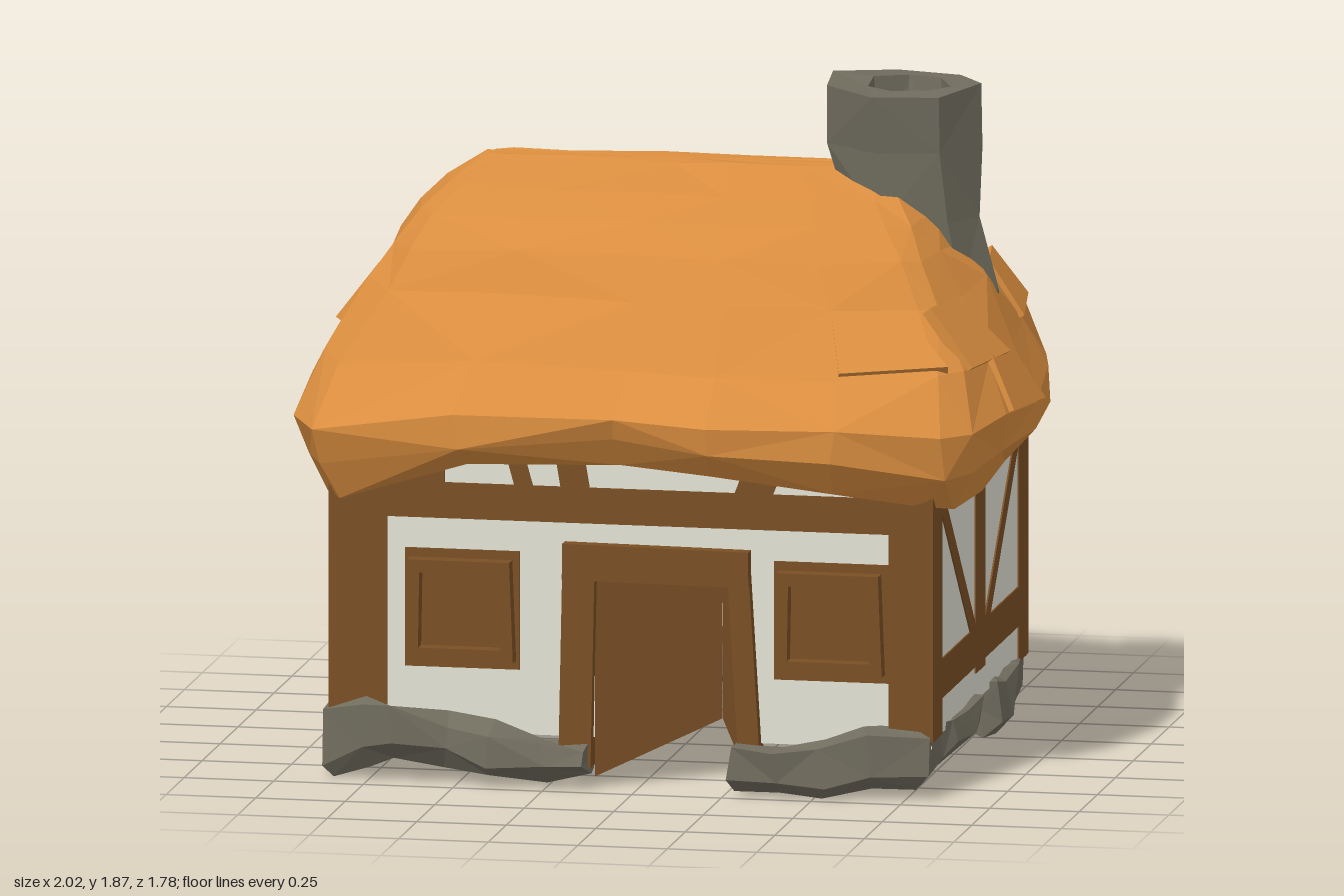
import * as THREE from 'three';

const V = (x, y, z) => new THREE.Vector3(x, y, z);
const mat = (name, color) =>
  Object.assign(new THREE.MeshStandardMaterial({ color, side: THREE.DoubleSide, flatShading: true }), { name });
const flat = points => new THREE.ShapeGeometry(new THREE.Shape(points.map(p => new THREE.Vector2(...p))));

// Small seeded jitter, -1..1
let seed = 7;
const jit = () => {
  seed = (seed * 16807) % 2147483647;
  return (seed / 2147483647) * 2 - 1;
};

// Skin a list of equal-length closed rings; skip(ring, segment) leaves a hole
function loft(rings, { capStart = false, capEnd = false, skip = () => false } = {}) {
  const pos = [];
  const tri = (a, b, c) => [a, b, c].forEach(p => pos.push(p.x, p.y, p.z));
  const n = rings[0].length;
  for (let r = 0; r < rings.length - 1; r++) {
    for (let i = 0; i < n; i++) {
      if (skip(r, i)) continue;
      const j = (i + 1) % n, A = rings[r], B = rings[r + 1];
      if ((i + r) % 2) { tri(A[i], A[j], B[j]); tri(A[i], B[j], B[i]); }
      else { tri(A[i], A[j], B[i]); tri(A[j], B[j], B[i]); }
    }
  }
  const cap = (ring, flip) => {
    const c = ring.reduce((s, p) => s.add(p), V(0, 0, 0)).divideScalar(n);
    ring.forEach((p, i) => {
      const q = ring[(i + 1) % n];
      flip ? tri(q, p, c) : tri(p, q, c);
    });
  };
  if (capStart) cap(rings[0], true);
  if (capEnd) cap(rings[rings.length - 1], false);
  const g = new THREE.BufferGeometry();
  g.setAttribute('position', new THREE.Float32BufferAttribute(pos, 3));
  g.computeVertexNormals();
  return g;
}

export function createModel() {
  seed = 7;
  const model = new THREE.Group();
  model.name = 'cottage';
  const thatch = mat('thatch orange', 0xd98d3f);
  const timber = mat('timber brown', 0x7a4f25);
  const plaster = mat('plaster cream', 0xe4e2d5);
  const stone = mat('stone grey', 0x706c5e);

  const add = (parent, name, geo, material) => {
    const m = new THREE.Mesh(geo, material);
    m.name = name;
    parent.add(m);
    return m;
  };

  // --- Thatched roof: rounded outline stacked in rings, drooping at the corners
  const outline = [[-.9, .93], [-.5, .97], [-.05, .97], [.25, 1.06], [.6, 1], [.88, .88], [.96, .76],
    [.98, .5], [1.01, .1], [.96, -.4], [.91, -.75], [.81, -.99], [.3, -1.07], [-.11, -.99], [-.61, -.97],
    [-.9, -.89], [-.97, -.72], [-.98, -.2], [-1.01, .25], [-.97, .75]];
  // y, half width, half depth, eave lift
  const levels = [[.9, .82, .64, .05], [.78, .91, .75, .13], [.87, .975, .82, .12], [1, .985, .83, .06],
    [1.16, .925, .69, .02], [1.34, .825, .53, 0], [1.44, .765, .45, 0], [1.52, .71, .36, 0],
    [1.575, .65, .23, 0], [1.635, .55, .06, 0]];
  const roofRings = levels.map(([y, hx, hz, lift], r) => outline.map(([u, v]) => {
    const k = r > 5 ? .007 : .018;
    const corner = Math.min(Math.abs(u * v) / .85, 1);
    const up = lift * (1 - corner ** 3) * (Math.abs(u) > .9 ? .45 : 1);
    return V(Math.max(-1, Math.min(1, u * hx + jit() * k)), y + up + jit() * k, v * hz + jit() * k);
  }));
  add(model, 'roof', loft(roofRings, { capEnd: true, skip: (r, i) => r === 6 && i === 13 }), thatch);

  // Loose thatch layers lying flush on chosen roof panels: ring, segment, width, length
  [[4, 4, .3, .2], [4, 6, .3, .2], [3, 7, .34, .16], [4, 9, .34, .18], [5, 11, .3, .14], [4, 13, .45, .16],
    [4, 17, .36, .16]].forEach(([r, i, w, l]) => {
    const j = (i + 1) % outline.length;
    const a = roofRings[r][i], b = roofRings[r][j], c = roofRings[r + 1][j], d = roofRings[r + 1][i];
    const along = b.clone().sub(a).normalize();
    const out = along.clone().cross(d.clone().add(c).sub(a).sub(b)).normalize();
    const g = new THREE.BoxGeometry(w, .03, l);
    const p = g.attributes.position;
    for (let k = 0; k < p.count; k++) p.setX(k, p.getX(k) * (p.getZ(k) > 0 ? 1 : .65) + p.getZ(k) * .3);
    g.applyMatrix4(new THREE.Matrix4().makeBasis(along, out, along.clone().cross(out)));
    add(model, 'thatchLayer', g, thatch).position.copy(a).add(b).add(c).add(d).multiplyScalar(.25);
  });

  // --- Chimney: rough leaning stack with a hollow top
  const chimneyRings = [[1.18, .75, .1], [1.3, .705, .15], [1.5, .635, .18], [1.7, .605, .2],
    [1.865, .6, .21], [1.865, .62, .12], [1.66, .62, .1]].map(([y, cx, r]) =>
    Array.from({ length: 7 }, (_, i) => {
      const a = (-i * 2 * Math.PI) / 7, R = r * 1.05;
      return V(cx + Math.cos(a) * R + jit() * .012, y + jit() * .008, -.02 + Math.sin(a) * R + jit() * .012);
    }));
  add(model, 'chimney', loft(chimneyRings), stone);

  // --- Rubble footing in three broken runs; points are x, z, bottom, top
  const footing = pts => {
    const path = [];
    pts.forEach((p, i) => {
      path.push(p);
      const q = pts[i + 1];
      if (q) path.push(p.map((c, k) => (c + q[k]) / 2 + jit() * .014));
    });
    const rings = path.map(([x, z, y0, y1], i) => {
      const a = path[Math.max(i - 1, 0)], b = path[Math.min(i + 1, path.length - 1)];
      const d = V(b[0] - a[0], 0, b[1] - a[1]).normalize();
      return [[.9, -.6], [1, .3], [.3, 1], [-.8, .8], [-.9, -.5], [0, -1]].map(([s, t]) =>
        V(x + d.z * s * .05 + jit() * .012, Math.max(0, (y0 + y1) / 2 + t * (y1 - y0) / 2 + jit() * .018),
          z - d.x * s * .05 + jit() * .012));
    });
    add(model, 'stoneFooting', loft(rings, { capStart: true, capEnd: true }), stone);
  };
  footing([[-.85, -.05, .1, .18], [-.85, .25, .08, .19], [-.84, .65, 0, .2], [-.68, .69, .06, .22],
    [-.4, .7, .03, .17], [-.13, .69, .03, .13]]);
  footing([[.27, .69, .01, .14], [.52, .7, .01, .16], [.78, .65, .02, .19], [.8, .4, .08, .17], [.8, .06, .1, .19]]);
  footing([[.8, -.15, .03, .18], [.8, -.4, .02, .19], [.78, -.65, .01, .2], [.4, -.67, .07, .17],
    [0, -.67, .06, .16], [-.45, -.67, .07, .17], [-.82, -.64, .02, .2], [-.85, -.25, .04, .18]]);

  // --- Plaster walls with thin timber strips showing on both faces
  const wall = (name, points, x, z, yaw, beams) => {
    const g = new THREE.Group();
    g.name = name;
    g.position.set(x, 0, z);
    g.rotation.y = yaw;
    model.add(g);
    add(g, 'plaster', flat(points), plaster);
    beams.forEach(([x0, y0, x1, y1, w]) => {
      const m = add(g, 'beam', new THREE.BoxGeometry(Math.hypot(x1 - x0, y1 - y0), w, .009), timber);
      m.position.set((x0 + x1) / 2, (y0 + y1) / 2, 0);
      m.rotation.z = Math.atan2(y1 - y0, x1 - x0);
    });
    return g;
  };
  const rect = (a, b) => [[a, .16], [b, .16], [b, .98], [a, .98]];

  const sideBeams = [[-.66, .315, .66, .315, .11], [0, .24, 0, .98, .13], [-.66, .91, .66, .91, .15]];
  for (const s of [-1, 1]) {
    sideBeams.push([s * .597, .16, s * .597, .98, .13], [s * .52, .8, s * .06, .33, .055]);
  }
  wall('rightWall', rect(-.66, .66), .82, 0, Math.PI / 2, sideBeams);
  wall('leftWall', rect(-.66, .66), -.86, 0, -Math.PI / 2, sideBeams);

  const backBeams = [[-.82, .33, .86, .33, .12], [-.82, .66, .86, .66, .14], [-.82, .93, .86, .93, .12],
    [-.82, .18, .86, .18, .05], [-.74, .16, -.74, .98, .16], [.77, .16, .77, .98, .18],
    [-.6, .8, -.35, .8, .16], [.35, .8, .7, .8, .16]];
  for (const x of [-.26, .28]) backBeams.push([x + .02, .16, x - .02, .98, .13]);
  wall('backWall', rect(-.82, .86), 0, -.65, Math.PI, backBeams);

  const front = wall('frontWall', [[-.86, .14], [-.12, .14], [-.12, .58], [.3, .58], [.3, .14], [.82, .14],
    [.82, .98], [-.86, .98]], 0, .66, 0, [[-.86, .785, .82, .785, .1], [-.78, .15, -.78, .98, .16],
    [.76, .15, .76, .98, .12], [-.36, .98, -.31, .8, .05], [-.2, .98, -.17, .8, .08], [.31, .8, .38, .98, .1],
    [-.6, .8, -.6, .98, .12]]);

  // Windows: chunky frame round a sunken pane, warm on its inner face
  const box = (w, h) => [[-w, -h], [w, -h], [w * .93, h], [-w * .97, h]].map(p => new THREE.Vector2(...p));
  for (const [x, y] of [[-.49, .485], [.54, .485]]) {
    const g = new THREE.Group();
    g.name = 'window';
    g.position.set(x, y, 0);
    front.add(g);
    const shape = new THREE.Shape(box(.15, .14));
    shape.holes.push(new THREE.Path(box(.115, .105).reverse()));
    add(g, 'windowSurround', new THREE.BoxGeometry(.32, .33, .009), timber);
    add(g, 'windowFrame', new THREE.ExtrudeGeometry(shape, { depth: .05, bevelEnabled: false }), timber);
    add(g, 'windowInnerFace', new THREE.BoxGeometry(.2, .2, .006), thatch).position.z = -.006;
  }

  // Doorway: leaning posts and lintel round a V-shaped recess
  const post = (name, x, y, w, h, d, lean) => {
    const m = add(front, name, new THREE.BoxGeometry(w, h, d), timber);
    m.position.set(x, y, .005);
    m.rotation.z = lean;
  };
  post('doorPost', -.165, .37, .09, .62, .06, -.02);
  post('doorPost', .3, .37, .06, .6, .06, .06);
  post('lintel', .055, .63, .52, .1, .07, -.01);
  const leaf = (name, x, w, yaw) => {
    const m = add(front, name, flat([[0, .03], [w, .17], [w, .6], [0, .6]]), timber);
    m.position.x = x;
    m.rotation.y = yaw;
  };
  leaf('door', -.12, .367, Math.atan2(.18, .32));
  leaf('doorJamb', .31, .21, Math.PI - Math.atan2(.18, .11));
  add(front, 'doorSoffit', flat([[-.12, 0], [.31, 0], [.2, .18]]), timber)
    .position.y = .585;
  front.children[front.children.length - 1].rotation.x = -Math.PI / 2;

  return model;
}
